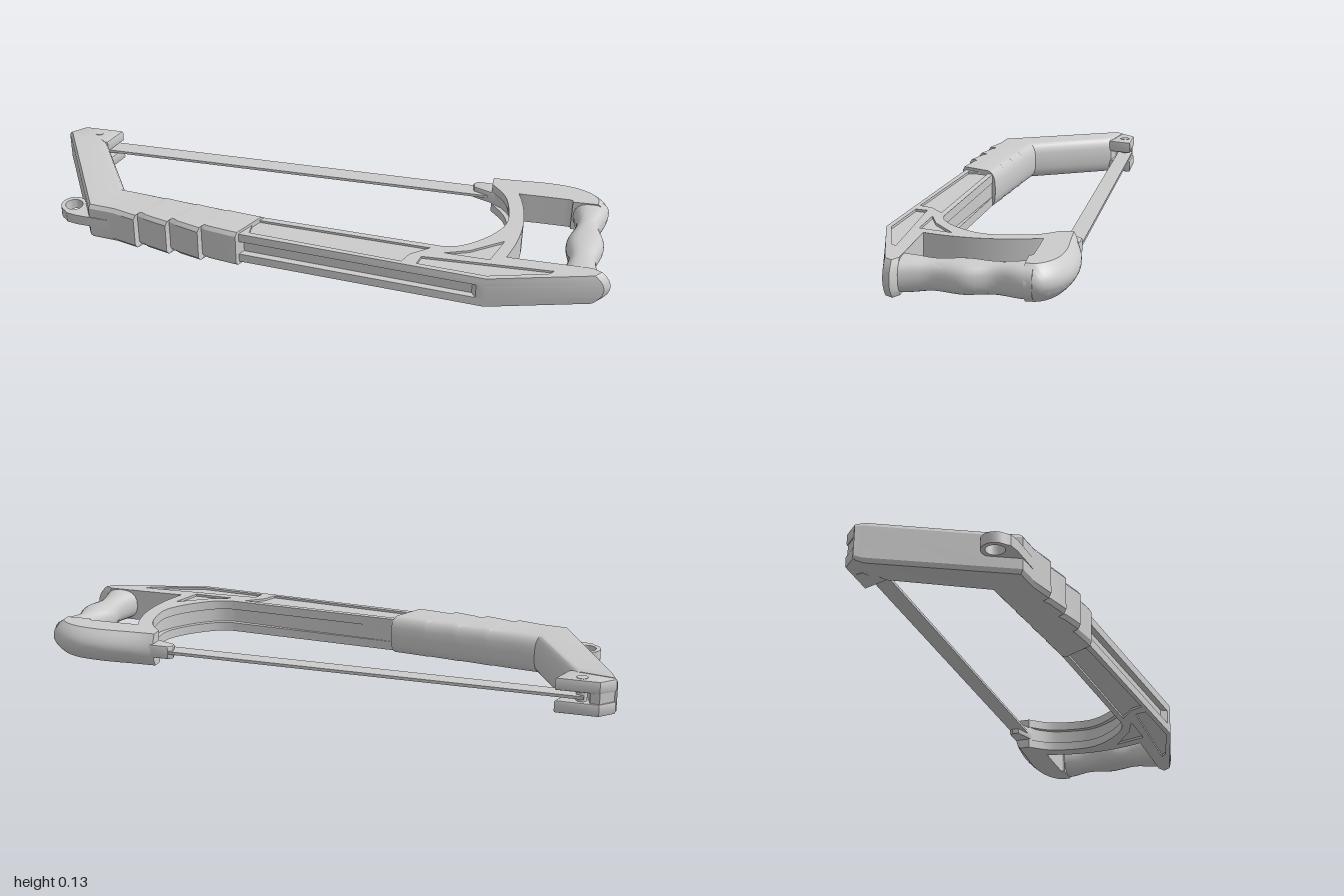
import * as THREE from 'three';
import { toCreasedNormals } from 'three/addons/utils/BufferGeometryUtils.js';

const MID = 0.0685; // height of the saw's middle plane
const material = new THREE.MeshStandardMaterial({ color: 0xcccccc, side: THREE.DoubleSide });
const V2 = (p) => new THREE.Vector2(p[0], p[1]);

function add(group, name, geometry, crease = 0.55) {
  const mesh = new THREE.Mesh(toCreasedNormals(geometry, crease), material);
  mesh.name = name;
  group.add(mesh);
  return mesh;
}

// Flat plate: outline in (x, z), from height y0 to y1
function plate(points, y0, y1, holes = [], bevel = 0, steps = 1) {
  const shape = new THREE.Shape(points.map(V2));
  holes.forEach((h) => shape.holes.push(new THREE.Path(h.map(V2))));
  const g = new THREE.ExtrudeGeometry(shape, {
    depth: y1 - y0 - 2 * bevel, steps, bevelEnabled: bevel > 0,
    bevelSize: bevel, bevelThickness: bevel, bevelOffset: -bevel, bevelSegments: 2,
  });
  return g.rotateX(Math.PI / 2).translate(0, y1 - bevel, 0);
}

// Loft: stations [outerX, outerZ, innerX, innerZ, halfHeight], section [across 0..1, height -1..1]
function loft(stations, section) {
  const rings = stations.map(([ax, az, bx, bz, h]) => section.map(([t, v]) =>
    [ax + (bx - ax) * t, MID + v * h, az + (bz - az) * t]));
  const n = section.length, pos = [];
  const tri = (a, b, c) => pos.push(...a, ...b, ...c);
  for (let i = 0; i + 1 < rings.length; i++) {
    for (let j = 0; j < n; j++) {
      const k = (j + 1) % n, r = rings[i], s = rings[i + 1];
      tri(r[j], s[j], s[k]);
      tri(r[j], s[k], r[k]);
    }
  }
  const last = rings[rings.length - 1];
  for (let j = 1; j + 1 < n; j++) {
    tri(rings[0][0], rings[0][j], rings[0][j + 1]);
    tri(last[0], last[j + 1], last[j]);
  }
  // turn the faces outward if the enclosed volume is negative
  let volume = 0;
  const p = (i) => new THREE.Vector3().fromArray(pos, i);
  for (let i = 0; i < pos.length; i += 9) volume += p(i).dot(p(i + 3).cross(p(i + 6)));
  if (volume < 0) {
    for (let i = 0; i < pos.length; i += 9) {
      for (let k = 3; k < 6; k++) [pos[i + k], pos[i + k + 3]] = [pos[i + k + 3], pos[i + k]];
    }
  }
  const g = new THREE.BufferGeometry();
  g.setAttribute('position', new THREE.Float32BufferAttribute(pos, 3));
  return g;
}

// Resample stations along smooth curves
function smooth(stations, count) {
  const curve = (f) => new THREE.CatmullRomCurve3(stations.map(f));
  const a = curve((s) => new THREE.Vector3(s[0], s[1], s[4]));
  const b = curve((s) => new THREE.Vector3(s[2], s[3], 0));
  return Array.from({ length: count + 1 }, (_, i) => {
    const p = a.getPoint(i / count), q = b.getPoint(i / count);
    return [p.x, p.y, q.x, q.y, p.z];
  });
}

const arc = (n, f) => Array.from({ length: n + 1 }, (_, i) => f(i / n));

function buildFrame(group) {
  // crescent throat and inner edge of the hand opening
  const throat = (d) => new THREE.SplineCurve([[0.44, 0.16 + d], [0.5, 0.142 + d], [0.57, 0.085 + d * 0.7],
    [0.622, 0.01], [0.632, -0.06], [0.61, -0.165], [0.555, -0.235]]
    .map(([x, z], i) => new THREE.Vector2(x + d * Math.min(1, i / 3), z))).getPoints(28).map((p) => [p.x, p.y]);
  const opening = new THREE.QuadraticBezierCurve(V2([0.65, -0.2]), V2([0.72, -0.02]), V2([0.65, 0.175]))
    .getPoints(16).map((p) => [p.x, p.y]);
  const outline = (d, groove) => [[-0.24, 0.125], ...throat(d), [0.62, -0.25], ...opening,
    [0.825, 0.175], [0.962, 0.175], [0.992, 0.19], [0.972, 0.215], [0.6, 0.305], ...groove, [-0.24, 0.238]];
  const plain = outline(0, []);
  const grooved = outline(0.018, [[0.57, 0.3025], [0.555, 0.28], [-0.22, 0.217], [-0.235, 0.238]]);
  const panels = [
    [[-0.2, 0.147], [0.4, 0.178], [0.34, 0.225], [0.32, 0.268], [-0.2, 0.222]],
    [[0.45, 0.195], [0.53, 0.165], [0.635, 0.09], [0.6, 0.2]],
    [[0.38, 0.23], [0.81, 0.218], [0.79, 0.238], [0.6, 0.288], [0.37, 0.27]],
  ];
  const layers = [[0.012, 0.02, plain, panels], [0.02, 0.043, plain, []], [0.043, 0.094, grooved, []],
    [0.094, 0.117, plain, []], [0.117, 0.125, plain, panels]];
  for (const [y0, y1, pts, holes] of layers) {
    const g = plate(pts, y0, y1, holes, 0, 4);
    // bow the heel's end outward at mid height
    const p = g.attributes.position;
    for (let i = 0; i < p.count; i++) {
      const u = (p.getY(i) - MID) / 0.0565;
      if (p.getX(i) > 0.95) p.setX(i, p.getX(i) - 0.033 * u * u);
    }
    add(group, 'frameLayer', g);
  }
}

function buildHandle(group) {
  // upper arm: bowed outside, flat inside
  const bowed = [[1, -1], ...arc(12, (t) => {
    const v = 2 * t - 1;
    return [0.3 * v * v, v];
  }), [1, 1]];
  const h = 0.0565;
  add(group, 'handleTop', loft(smooth([
    [0.555, -0.29, 0.555, -0.235, h], [0.64, -0.31, 0.63, -0.2, h], [0.75, -0.32, 0.74, -0.197, h],
    [0.85, -0.308, 0.81, -0.197, h], [0.925, -0.272, 0.832, -0.196, h], [0.957, -0.235, 0.836, -0.193, h],
    [0.96, -0.19, 0.837, -0.185, h]], 30), bowed), 0.6);
  // rounded finger grip
  const oval = arc(23, (t) => {
    const a = t * Math.PI * 2 * 23 / 24, c = Math.cos(a), s = Math.sin(a);
    return [0.5 - 0.5 * Math.sign(c) * Math.abs(c) ** 0.8, Math.sign(s) * Math.abs(s) ** 0.8];
  });
  add(group, 'grip', loft(smooth([
    [0.962, -0.215, 0.835, -0.21, 0.054], [0.955, -0.17, 0.846, -0.17, 0.052], [0.936, -0.1, 0.856, -0.1, 0.047],
    [0.958, -0.015, 0.832, -0.01, 0.05], [0.938, 0.085, 0.846, 0.08, 0.046], [0.946, 0.14, 0.838, 0.14, 0.052],
    [0.96, 0.19, 0.825, 0.19, 0.055]], 32), oval), 0.9);
  // rear blade clamp
  add(group, 'rearClamp', plate([[0.485, -0.278], [0.5, -0.292], [0.58, -0.292], [0.58, -0.225],
    [0.545, -0.235], [0.49, -0.255]], 0.045, 0.092, [], 0.006));
}

function buildFrontArm(group) {
  // rounded inner side, small chamfers outside
  const section = [[0, -0.8], [0.06, -1], ...arc(10, (t) => {
    const a = (t - 0.5) * Math.PI;
    return [0.78 + 0.22 * Math.cos(a), Math.sign(a) * Math.abs(Math.sin(a)) ** 0.7];
  }), [0.06, 1], [0, 0.8]];
  const h = 0.067;
  const line = (x, d) => {
    const t = (x + 0.77) / 0.53;
    return [x, 0.2 + 0.052 * t + d, -0.68 + 0.515 * t, 0.062 + 0.055 * t, h];
  };
  const stations = [[-0.998, -0.243, -0.84, -0.212, 0.06], [-0.985, -0.22, -0.83, -0.195, h], line(-0.77, 0)];
  for (const x of [-0.6, -0.485, -0.37]) { // finger ridges
    stations.push(line(x - 0.08, 0), line(x, 0.015), line(x + 0.006, -0.012), line(x + 0.025, -0.006));
  }
  stations.push(line(-0.26, 0), line(-0.24, 0));
  add(group, 'frontArmAndSleeve', loft(stations, section), 0.5);

  // hanging eyelet
  const ring = arc(18, (t) => {
    const a = -0.5 - t * (Math.PI + 0.6);
    return [-0.845 + 0.045 * Math.cos(a), 0.14 + 0.045 * Math.sin(a)];
  });
  const hole = arc(24, (t) => [-0.845 + 0.03 * Math.cos(t * 6.2832), 0.14 + 0.03 * Math.sin(t * 6.2832)]).slice(0, 24);
  add(group, 'eyelet', plate([...ring, [-0.855, 0.192], [-0.82, 0.2], [-0.7, 0.208], [-0.76, 0.15]],
    0.05, 0.087, [hole]));

  // forked blade holder: two prongs, a back web and a pin
  const prong = [[-0.995, -0.245], [-0.95, -0.29], [-0.81, -0.29], [-0.84, -0.205], [-0.97, -0.2]];
  add(group, 'lowerProng', plate(prong, 0.01, 0.052, [], 0.006));
  add(group, 'upperProng', plate(prong, 0.085, 0.127, [], 0.006));
  add(group, 'holderWeb', plate([[-0.99, -0.243], [-0.95, -0.285], [-0.92, -0.285], [-0.9, -0.215], [-0.97, -0.2]],
    0.04, 0.1));
  const pin = add(group, 'bladePin', new THREE.CylinderGeometry(0.018, 0.018, 0.12, 20));
  pin.position.set(-0.89, MID, -0.262);
}

export function createModel() {
  const group = new THREE.Group();
  group.name = 'hacksaw';
  buildFrame(group);
  buildHandle(group);
  buildFrontArm(group);
  const blade = add(group, 'blade', new THREE.BoxGeometry(1.44, 0.01, 0.055));
  blade.position.set(-0.18, MID, -0.263);
  return group;
}
